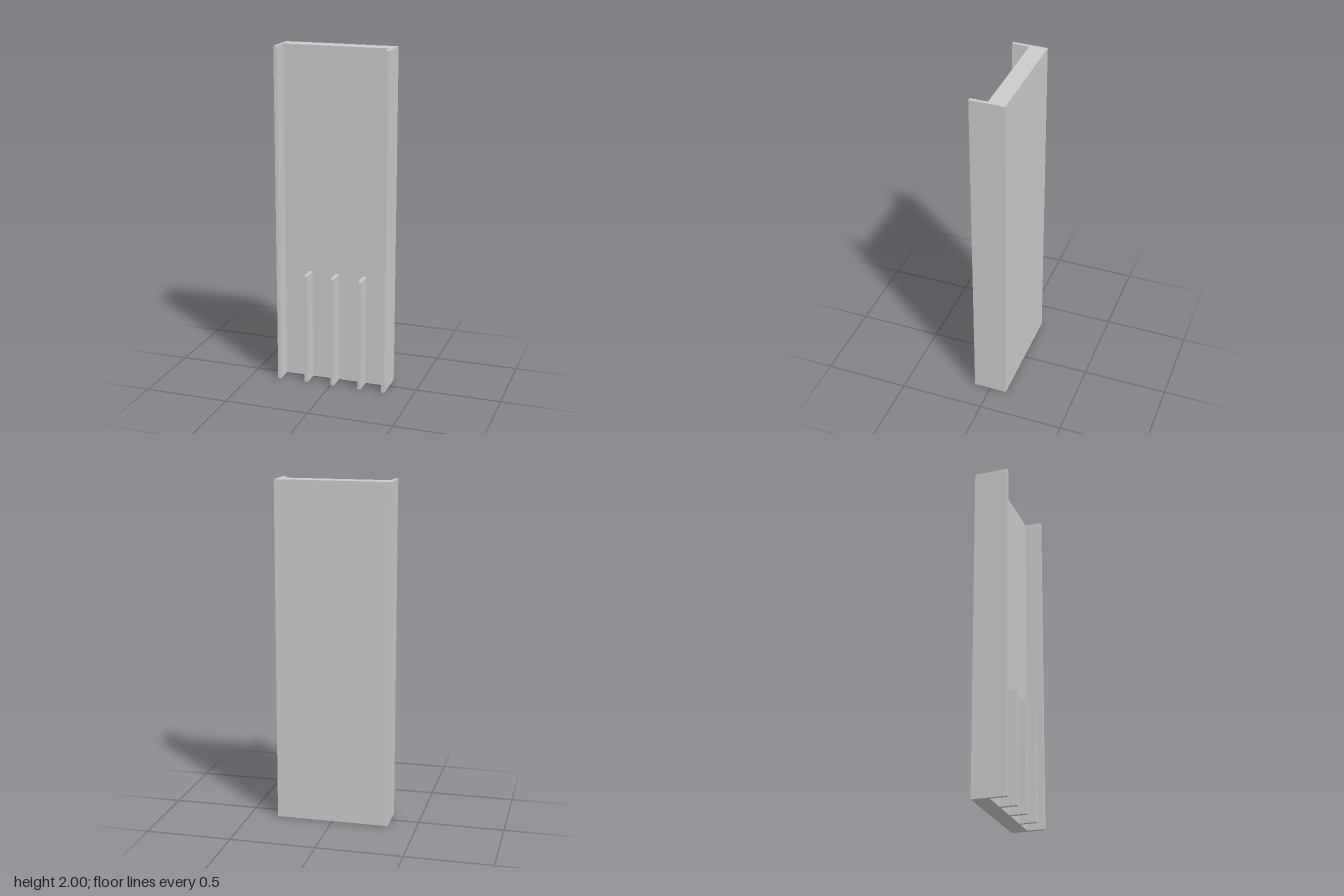
import * as THREE from 'three';

const HALF_W = 0.333, HEIGHT = 2, BACK = -0.1, FACE = 0, FRONT = 0.1;
const WALL = 0.02, RIB_HEIGHT = 0.667;

export function createModel() {
  const group = new THREE.Group();
  const material = new THREE.MeshStandardMaterial({ color: 0xcccccc, flatShading: true });

  // Upright channel: thick back slab with a thin flange along each side.
  // The outline is drawn as (x, -z) and extruded upward.
  const inner = HALF_W - WALL;
  const outline = [
    [-HALF_W, FRONT], [-inner, FRONT], [-inner, FACE], [inner, FACE],
    [inner, FRONT], [HALF_W, FRONT], [HALF_W, BACK], [-HALF_W, BACK],
  ].map(([x, z]) => new THREE.Vector2(x, -z));
  const channelGeometry = new THREE.ExtrudeGeometry(new THREE.Shape(outline), {
    depth: HEIGHT, bevelEnabled: false,
  });
  channelGeometry.rotateX(-Math.PI / 2);
  const channel = new THREE.Mesh(channelGeometry, material);
  channel.name = 'channelPanel';
  group.add(channel);

  // Three short ribs rising from the bottom edge of the front face
  const ribGeometry = new THREE.BoxGeometry(WALL, RIB_HEIGHT, FRONT - FACE);
  [-0.153, 0.01, 0.177].forEach((x, i) => {
    const rib = new THREE.Mesh(ribGeometry, material);
    rib.name = `rib${i + 1}`;
    rib.position.set(x, RIB_HEIGHT / 2, (FACE + FRONT) / 2);
    group.add(rib);
  });

  return group;
}
